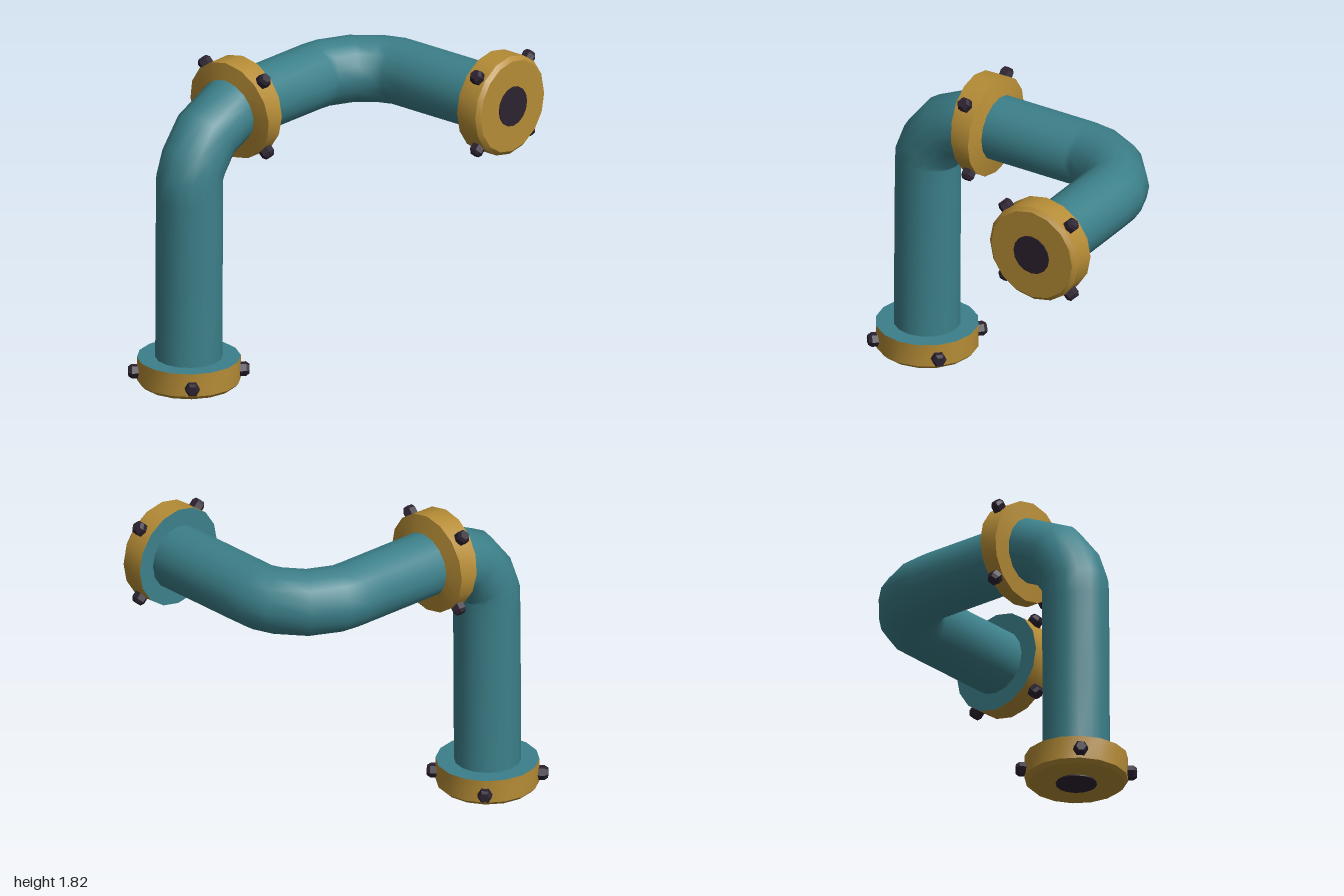
import * as THREE from 'three';
import { mergeGeometries } from 'three/addons/utils/BufferGeometryUtils.js';

const mat = (name, color) => new THREE.MeshStandardMaterial({ name, color });
const V = (x, y, z) => new THREE.Vector3(x, y, z);
const DEG = Math.PI / 180;

// Directions: rising and leaning back by a degrees, or level and turning left by a degrees
const lean = (a) => V(0, Math.cos(a * DEG), -Math.sin(a * DEG));
const turn = (a) => V(Math.sin(a * DEG), 0, -Math.cos(a * DEG));

// Two axes across a direction of travel
function frame(t) {
  const u = Math.abs(t.x) < 1e-4 ? V(1, 0, 0) : V(0, -1, 0).cross(t).normalize();
  return [u, t.clone().cross(u).normalize()];
}

// Smooth skin over rings { c: centre, t: direction, r: radius }
function loft(rings, sides = 16) {
  const pos = [], idx = [];
  rings.forEach(({ c, t, r }, i) => {
    const [u, v] = frame(t);
    for (let j = 0; j < sides; j++) {
      const a = (j / sides) * Math.PI * 2;
      const p = c.clone().addScaledVector(u, r * Math.cos(a)).addScaledVector(v, r * Math.sin(a));
      pos.push(p.x, p.y, p.z);
      if (i === 0) continue;
      const k = (j + 1) % sides, lo = (i - 1) * sides, hi = i * sides;
      idx.push(lo + j, lo + k, hi + k, lo + j, hi + k, hi + j);
    }
  });
  const g = new THREE.BufferGeometry();
  g.setAttribute('position', new THREE.Float32BufferAttribute(pos, 3));
  g.setIndex(idx);
  g.computeVertexNormals();
  return g;
}

// Sharp edge at every ring
const banded = (rings, sides) =>
  mergeGeometries(rings.slice(1).map((ring, i) => loft([rings[i], ring], sides)));

// Rings of a straight turned part from [distance, radius] pairs
const turned = (c, t, profile) =>
  profile.map(([d, r]) => ({ c: c.clone().addScaledVector(t, d), t, r }));

export function createModel() {
  const teal = mat('teal paint', 0x3c808a);
  const gold = mat('gold paint', 0xb58c36);
  const dark = mat('dark metal', 0x2c2230);
  const model = new THREE.Group();
  model.name = 'pipe';
  const PIPE = 0.187, RIM = 0.289, X = -0.431, Y = 1.527;

  const add = (parent, name, geometry, material) => {
    const mesh = new THREE.Mesh(geometry, material);
    mesh.name = name;
    parent.add(mesh);
  };

  // Pipe: up, over to the back, then round to the left
  const path = [
    [V(X, 0.1, 0.711), lean(0)],
    [V(X, 0.6, 0.709), lean(0)],
    [V(X, 1.1, 0.705), lean(1)],
    [V(X, 1.222, 0.703), lean(8)],
    [V(X, 1.305, 0.671), lean(33)],
    [V(X, 1.441, 0.564), lean(50)],
    [V(X, 1.53, 0.372), lean(80)],
    [V(X, Y, 0.235), lean(90)],
    [V(X, Y, -0.2), turn(0)],
    [V(X, Y, -0.32), turn(2)],
    [V(-0.422, Y, -0.406), turn(19)],
    [V(-0.347, Y, -0.562), turn(36)],
    [V(-0.22, Y, -0.668), turn(62)],
    [V(-0.125, Y, -0.706), turn(80)],
    [V(0, Y, -0.708), turn(89)],
    [V(0.62, Y, -0.715), turn(90)],
  ];
  add(model, 'pipeTube', loft(path.map(([c, t]) => ({ c, t, r: PIPE }))), teal);

  // Four hex bolts standing out round a flange
  function addBolts(parent, c, t) {
    const [u, v] = frame(t);
    for (let i = 0; i < 4; i++) {
      const a = (45 + 90 * i) * DEG;
      const out = u.clone().multiplyScalar(Math.cos(a)).addScaledVector(v, Math.sin(a));
      const bolt = banded(turned(c, out, [[0.25, 0.041], [0.318, 0.041], [0.337, 0.028], [0.337, 0]]), 6);
      const flat = bolt.toNonIndexed();
      flat.computeVertexNormals();
      add(parent, 'bolt', flat, dark);
    }
  }

  // End flange: c is the outer face centre, t points into the pipe
  function addEndFlange(name, c, t) {
    const g = new THREE.Group();
    g.name = name;
    add(g, 'flangeRim', banded(turned(c, t, [[0.007, 0], [0.007, 0.266], [0.029, RIM], [0.163, RIM]])), gold);
    add(g, 'flangeInnerFace', banded(turned(c, t, [[0.163, RIM], [0.163, PIPE - 0.02]])), teal);
    add(g, 'pipeMouth', banded(turned(c, t, [[0, 0], [0, 0.115], [0.008, 0.115]])), dark);
    addBolts(g, c.clone().addScaledVector(t, 0.08), t);
    model.add(g);
  }
  addEndFlange('bottomFlange', V(X, 0, 0.711), V(0, 1, 0));
  addEndFlange('leftFlange', V(0.718, Y, -0.711), V(-1, 0, 0));

  // Middle collar, its front side following the bend
  const collar = new THREE.Group();
  collar.name = 'middleFlange';
  add(collar, 'collar', banded([
    { c: V(X, 1.525, 0.38), t: lean(81), r: PIPE - 0.005 },
    { c: V(X, 1.525, 0.368), t: lean(84), r: RIM },
    { c: V(X, Y, 0.257), t: lean(90), r: RIM },
    { c: V(X, Y, 0.232), t: lean(90), r: PIPE - 0.005 },
  ]), gold);
  addBolts(collar, V(X, Y, 0.313), lean(86.5));
  model.add(collar);

  return model;
}
